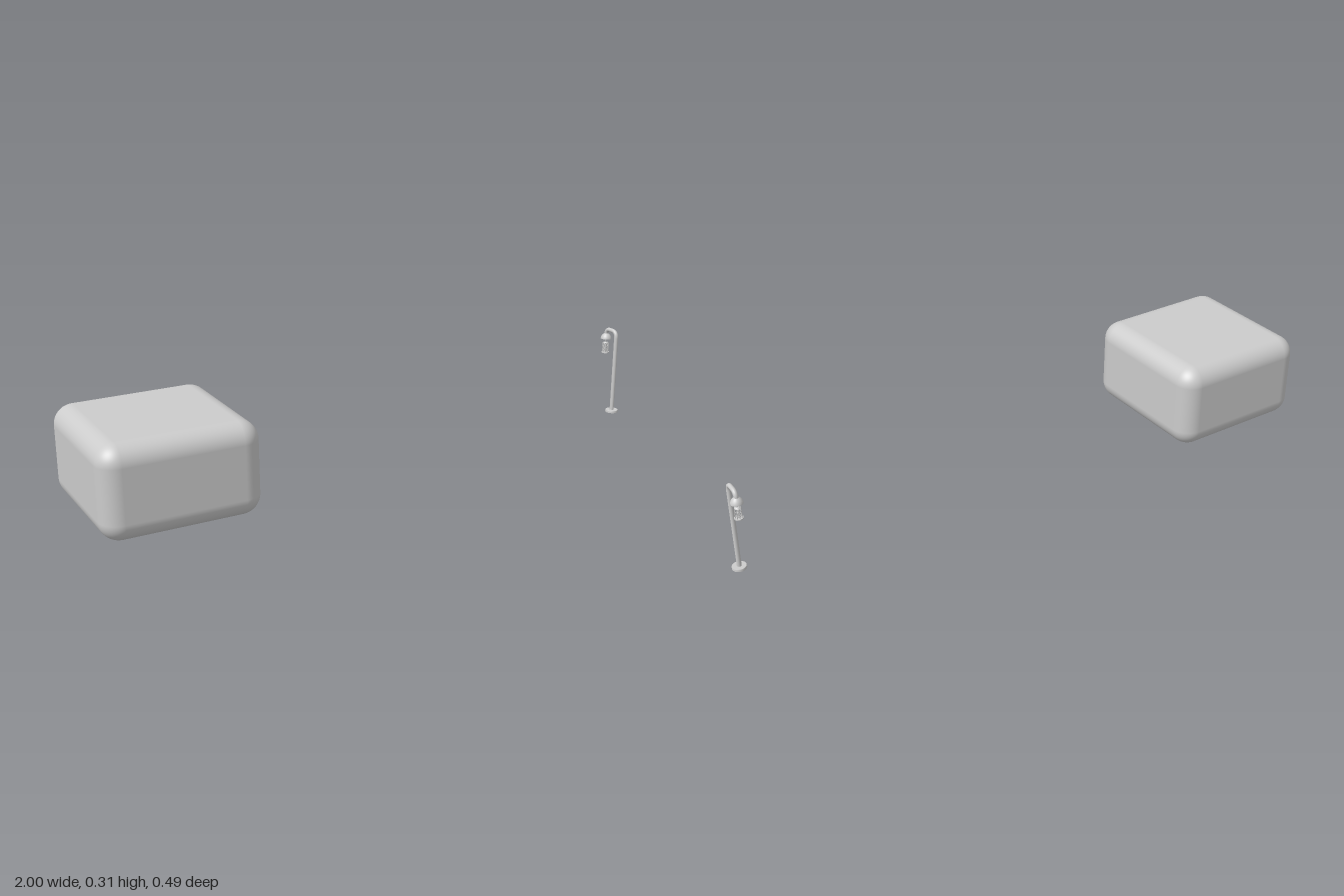
import * as THREE from 'three';
import { RoundedBoxGeometry } from 'three/addons/geometries/RoundedBoxGeometry.js';

const material = new THREE.MeshStandardMaterial({ color: 0xcccccc });
const doubleSided = new THREE.MeshStandardMaterial({ color: 0xcccccc, side: THREE.DoubleSide });
const V = (x, y, z) => new THREE.Vector3(x, y, z);

function add(parent, name, geometry, x = 0, y = 0, z = 0, mat = material) {
  const mesh = new THREE.Mesh(geometry, mat);
  mesh.name = name;
  mesh.position.set(x, y, z);
  parent.add(mesh);
  return mesh;
}

function lathe(points, segments = 32) {
  return new THREE.LatheGeometry(points.map(([r, y]) => new THREE.Vector2(r, y)), segments);
}

// Round foot, and one tube bent over at the top like a crook
function buildPost() {
  const post = new THREE.Group();
  post.name = 'post';
  add(post, 'footPlate', lathe([[0, 0], [0.0225, 0], [0.0225, 0], [0.0225, 0.006], [0.0215, 0.008], [0.0215, 0.008], [0, 0.008]]));

  const path = new THREE.CurvePath();
  path.add(new THREE.LineCurve3(V(0, 0.005, 0), V(0, 0.275, 0)));
  path.add(new THREE.CubicBezierCurve3(V(0, 0.275, 0), V(0, 0.29, 0), V(0, 0.298, -0.007), V(0, 0.298, -0.021)));
  path.add(new THREE.LineCurve3(V(0, 0.298, -0.021), V(0, 0.298, -0.035)));
  path.add(new THREE.CubicBezierCurve3(V(0, 0.298, -0.035), V(0, 0.298, -0.048), V(0, 0.291, -0.055), V(0, 0.277, -0.055)));
  add(post, 'bentTube', new THREE.TubeGeometry(path, 120, 0.0072, 16));
  return post;
}

// Bell shade with a small hanging cage lantern
function buildLampHead() {
  const head = new THREE.Group();
  head.name = 'lampHead';
  add(head, 'shade', lathe([
    [0.019, 0.262], [0.0185, 0.266], [0.016, 0.272], [0.012, 0.277], [0.0072, 0.281],
  ]), 0, 0, 0, doubleSided);
  const under = add(head, 'shadeUnderside', new THREE.CircleGeometry(0.0188, 32), 0, 0.263, 0, doubleSided);
  under.rotation.x = Math.PI / 2;
  add(head, 'hanger', new THREE.CylinderGeometry(0.0018, 0.0018, 0.018, 10), 0, 0.255, 0);
  add(head, 'lanternCap', new THREE.CylinderGeometry(0.006, 0.01, 0.004, 20), 0, 0.247, 0);
  add(head, 'lanternBase', new THREE.CylinderGeometry(0.0135, 0.0135, 0.0035, 24), 0, 0.211, 0);
  add(head, 'lanternCore', new THREE.CylinderGeometry(0.0045, 0.0045, 0.034, 16), 0, 0.229, 0);
  for (const y of [0.222, 0.235]) {
    const ring = add(head, 'cageRing', new THREE.TorusGeometry(0.0098, 0.001, 6, 24), 0, y, 0);
    ring.rotation.x = Math.PI / 2;
  }
  for (let i = 0; i < 8; i++) {
    const a = (i / 8) * Math.PI * 2;
    add(head, 'cageBar', new THREE.CylinderGeometry(0.0013, 0.0013, 0.035, 6),
      Math.cos(a) * 0.0098, 0.229, Math.sin(a) * 0.0098);
  }
  head.position.z = -0.055;
  return head;
}

export function createModel() {
  const model = new THREE.Group();
  model.name = 'blockAndLamp';

  // Softly rounded block
  add(model, 'roundedBlock', new RoundedBoxGeometry(0.49, 0.292, 0.49, 8, 0.062), -0.755, 0.149, 0);

  // Small street lamp on the far side
  const lamp = new THREE.Group();
  lamp.name = 'streetLamp';
  lamp.add(buildPost(), buildLampHead());
  lamp.position.x = 0.9775;
  model.add(lamp);

  return model;
}
